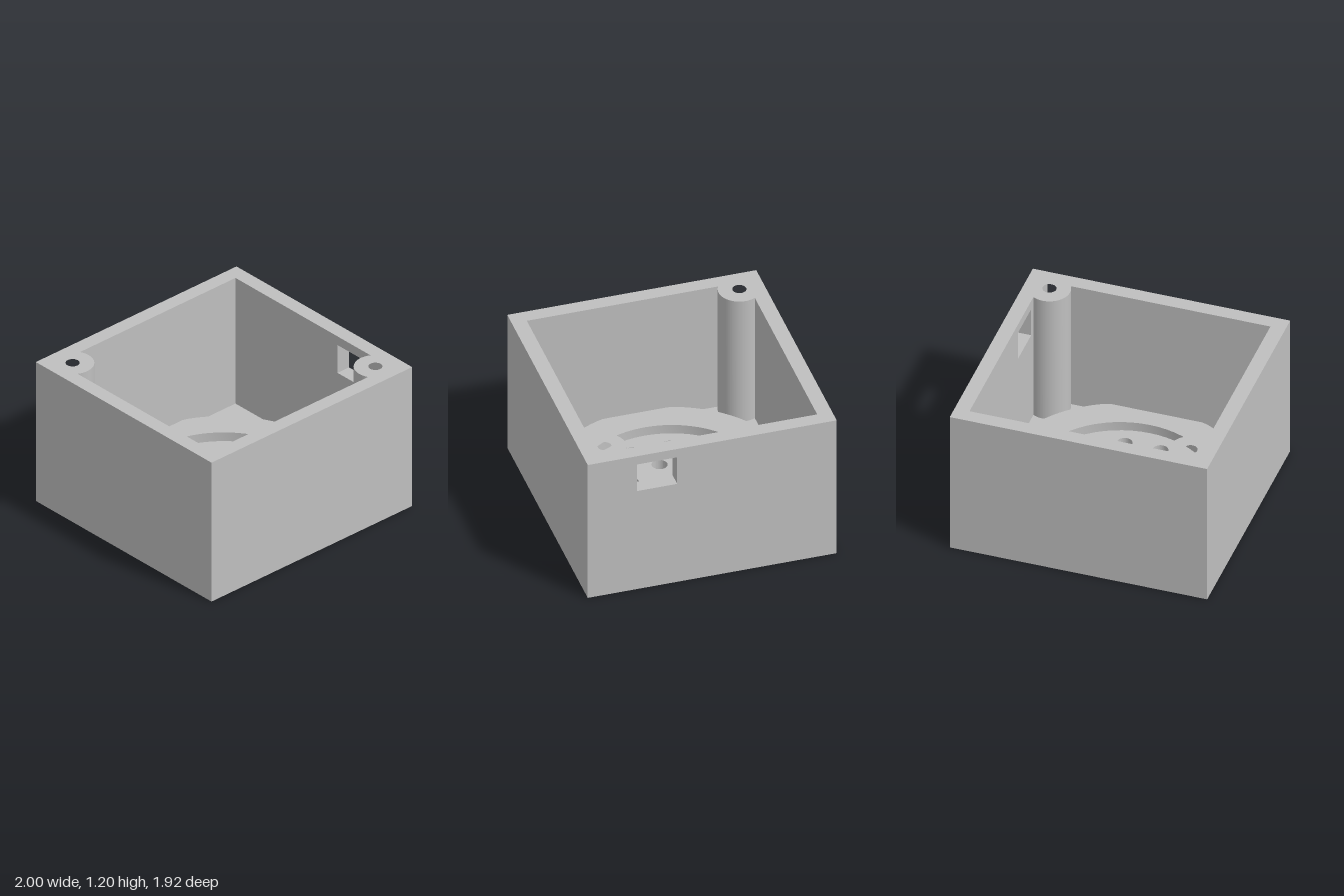
import * as THREE from 'three';
import { toCreasedNormals } from 'three/addons/utils/BufferGeometryUtils.js';

const X = 1, Z = 0.96, H = 1.2;          // outer half sizes and height
const IX = 0.885, IZ = 0.845;            // inner half sizes
const FLOOR = 0.115, RING_TOP = 0.19;
const POST = { x: 0.807, z: 0.77, r: 0.16, bore: 0.052, boreBottom: 0.6 };

function rect(x0, y0, x1, y1, Type = THREE.Shape) {
  return new Type([[x0, y0], [x1, y0], [x1, y1], [x0, y1]].map(p => new THREE.Vector2(...p)));
}

function circle(x, y, r) {
  return new THREE.Path().absarc(x, y, r, 0, Math.PI * 2, true);
}

function extrude(shape, depth) {
  return new THREE.ExtrudeGeometry(shape, { depth, bevelEnabled: false, curveSegments: 32 });
}

// Extrude a plan drawn in (x, z) between two heights
function slab(shape, y0, y1) {
  const g = extrude(shape, y1 - y0).rotateX(Math.PI / 2).translate(0, y1, 0);
  return toCreasedNormals(g, 0.5);
}

export function createModel() {
  const group = new THREE.Group();
  const grey = new THREE.MeshStandardMaterial({ color: 0xbfbfbf });
  grey.name = 'grey plastic';
  const add = (name, geometry) => {
    const mesh = new THREE.Mesh(geometry, grey);
    mesh.name = name;
    group.add(mesh);
    return mesh;
  };

  // Floor with a centre hole and two rings of sound holes
  const floor = rect(-X, -Z, X, Z);
  for (const [count, radius, offset] of [[1, 0, 0], [6, 0.308, 0], [12, 0.539, Math.PI / 12]]) {
    for (let i = 0; i < count; i++) {
      const a = offset + i * Math.PI * 2 / count;
      floor.holes.push(circle(radius * Math.cos(a), radius * Math.sin(a), 0.059));
    }
  }
  add('perforatedFloor', slab(floor, 0, FLOOR));

  // Low seat ring, cut off by the inner walls
  const outline = [];
  for (let i = 0; i < 128; i++) {
    const a = i / 128 * Math.PI * 2;
    outline.push(new THREE.Vector2(
      THREE.MathUtils.clamp(0.922 * Math.cos(a), -IX, IX),
      THREE.MathUtils.clamp(0.922 * Math.sin(a), -IZ, IZ)));
  }
  const ring = new THREE.Shape(outline);
  ring.holes.push(circle(0, 0, 0.692));
  add('seatRing', slab(ring, FLOOR, RING_TOP));

  // Three walls together with the two screw posts in opposite corners
  const a0 = -Math.acos((IX - POST.x) / POST.r);
  const a1 = -Math.PI - Math.asin((IZ - POST.z) / POST.r);
  const walls = new THREE.Shape();
  walls.moveTo(IX, -Z);
  walls.lineTo(-X, -Z);
  walls.lineTo(-X, Z);
  walls.lineTo(IX, Z);
  walls.absarc(POST.x, POST.z, POST.r, a0, a1, true);
  walls.lineTo(-IX, IZ);
  walls.absarc(-POST.x, -POST.z, POST.r, a0 + Math.PI, a1 + Math.PI, true);
  walls.lineTo(IX, -IZ);
  for (const s of [-1, 1]) walls.holes.push(circle(s * POST.x, s * POST.z, POST.bore));
  add('wallsAndScrewPosts', slab(walls, FLOOR, H));

  // Bottoms of the screw holes
  for (const s of [-1, 1]) {
    const disc = new THREE.CircleGeometry(POST.bore, 32).rotateX(-Math.PI / 2);
    add('screwHoleBottom', disc).position.set(s * POST.x, POST.boreBottom, s * POST.z);
  }

  // Side wall with the cable window
  const side = rect(-Z, FLOOR, Z, H);
  side.holes.push(rect(-0.58, 0.885, -0.27, 1.125, THREE.Path));
  add('windowWall', extrude(side, X - IX).rotateY(Math.PI / 2).translate(IX, 0, 0));

  return group;
}
